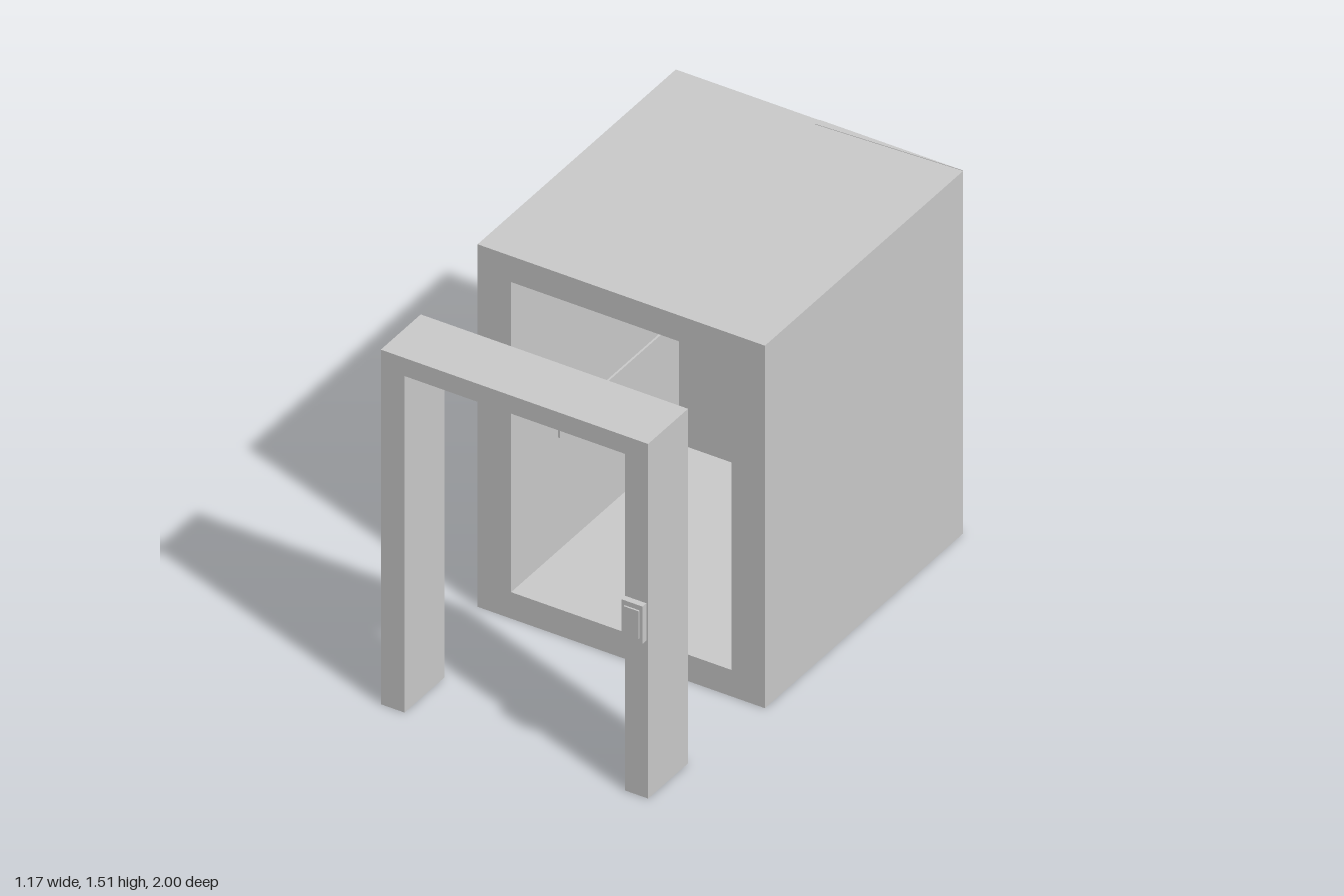
import * as THREE from 'three';

const grey = new THREE.MeshStandardMaterial({ color: 0xcccccc, flatShading: true });

function add(parent, name, geometry) {
  const mesh = new THREE.Mesh(geometry, grey);
  mesh.name = name;
  parent.add(mesh);
  return mesh;
}

// Box given by its lower and upper limits on each axis
function block(parent, name, [x0, x1], [y0, y1], [z0, z1]) {
  const mesh = add(parent, name, new THREE.BoxGeometry(x1 - x0, y1 - y0, z1 - z0));
  mesh.position.set((x0 + x1) / 2, (y0 + y1) / 2, (z0 + z1) / 2);
  return mesh;
}

function outline(points) {
  return points.map(([x, y]) => new THREE.Vector2(x, y));
}

// Outline in the front plane pushed from z0 to z1
function slab(parent, name, points, hole, z0, z1) {
  const shape = new THREE.Shape(outline(points));
  if (hole) shape.holes.push(new THREE.Path(outline(hole)));
  const geometry = new THREE.ExtrudeGeometry(shape, { depth: z1 - z0, bevelEnabled: false });
  add(parent, name, geometry.translate(0, 0, z0));
}

const rect = (w, y0, y1) => [[-w, y0], [w, y0], [w, y1], [-w, y1]];

export function createModel() {
  const model = new THREE.Group();
  model.name = 'elevator';

  // Cabin: hollow shell with an open front and a thick back wall
  const cabin = new THREE.Group();
  cabin.name = 'cabin';
  model.add(cabin);
  slab(cabin, 'cabinShell', rect(0.587, 0, 1.508), rect(0.45, 0.11, 1.4), -0.805, 0.28);
  block(cabin, 'backWall', [-0.587, 0.587], [0, 1.508], [-1, -0.805]);

  // Thin wedge along the rear roof edge
  const wedge = new THREE.Shape(outline([[0, 0.97], [0.587, 1], [0, 1]]));
  const seam = new THREE.ExtrudeGeometry(wedge, { depth: 0.002, bevelEnabled: false });
  add(cabin, 'roofSeam', seam.rotateX(-Math.PI / 2).translate(0, 1.508, 0));

  // Handrails on the side and back walls, held off by short brackets
  const rails = new THREE.Group();
  rails.name = 'handrails';
  cabin.add(rails);
  for (const s of [-1, 1]) {
    const side = s < 0 ? 'right' : 'left';
    const span = (a, b) => (s < 0 ? [-b, -a] : [a, b]);
    block(rails, side + 'Rail', span(0.427, 0.435), [0.6, 0.66], [-0.78, 0]);
    for (const z of [-0.7, -0.39, -0.08]) {
      block(rails, side + 'RailBracket', span(0.435, 0.45), [0.62, 0.64], [z - 0.01, z + 0.01]);
    }
  }
  block(rails, 'backRail', [-0.427, 0.427], [0.6, 0.66], [-0.79, -0.782]);
  for (const x of [-0.3, 0, 0.3]) {
    block(rails, 'backRailBracket', [x - 0.01, x + 0.01], [0.62, 0.64], [-0.805, -0.79]);
  }

  // Control panel on the left inner wall
  const panel = new THREE.Group();
  panel.name = 'controlPanel';
  cabin.add(panel);
  block(panel, 'controlPlate', [0.432, 0.45], [0.608, 0.825], [0.04, 0.16]);
  for (const y of [0.662, 0.708, 0.755]) {
    for (const z of [0.075, 0.125]) {
      block(panel, 'controlButton', [0.423, 0.432], [y - 0.012, y + 0.012], [z - 0.012, z + 0.012]);
    }
  }

  // Landing door frame standing in front of the cabin
  const frame = [
    [-0.547, 0], [-0.45, 0], [-0.45, 1.4], [0.45, 1.4],
    [0.45, 0], [0.545, 0], [0.545, 1.475], [-0.547, 1.475],
  ];
  slab(model, 'doorFrame', frame, null, 0.71, 0.968);

  // Call box on the frame's left post
  block(model, 'callBox', [0.453, 0.538], [0.655, 0.81], [0.968, 0.993]);
  block(model, 'callBoxCover', [0.465, 0.526], [0.675, 0.79], [0.993, 1]);

  return model;
}
